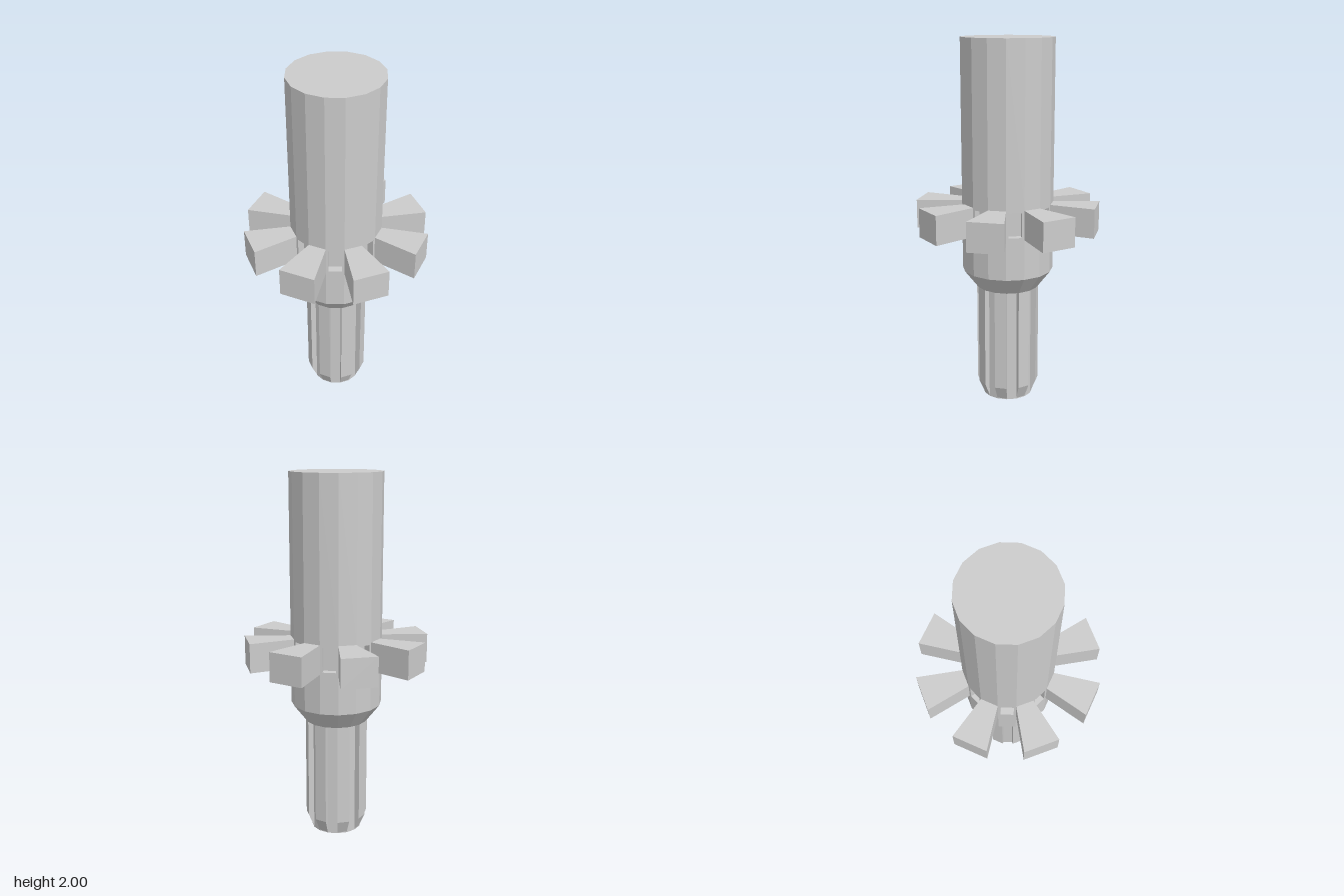
import * as THREE from 'three';
import { ConvexGeometry } from 'three/addons/geometries/ConvexGeometry.js';

const SIDES = 16;
const STEP = (Math.PI * 2) / SIDES;
const BAND = [0.965, 1.124]; // heights of the toothed band

const material = new THREE.MeshStandardMaterial({ color: 0xcccccc, flatShading: true });

function addMesh(parent, name, geometry) {
  const mesh = new THREE.Mesh(geometry, material);
  mesh.name = name;
  parent.add(mesh);
  return mesh;
}

// Faceted solid of revolution from [radius, height] pairs, bottom to top
function turned(profile) {
  return new THREE.LatheGeometry(profile.map(([r, y]) => new THREE.Vector2(r, y)), SIDES);
}

// Radial block filling one facet, from a convex [radius, height] section
function facetBlock(profile, angle) {
  const points = [];
  for (const a of [angle, angle + STEP]) {
    for (const [r, y] of profile) points.push(new THREE.Vector3(r * Math.sin(a), y, r * Math.cos(a)));
  }
  return new ConvexGeometry(points);
}

function rectangle(path, w, h) {
  path.moveTo(-w / 2, -h / 2);
  path.lineTo(w / 2, -h / 2);
  path.lineTo(w / 2, h / 2);
  path.lineTo(-w / 2, h / 2);
  path.closePath();
  return path;
}

export function createModel() {
  const model = new THREE.Group();
  model.name = 'splinedShaft';

  // Main shaft above and below the toothed band
  addMesh(model, 'upperShaft', turned([[0.25, BAND[1]], [0.25, 2], [0, 2]]));
  addMesh(model, 'collar', turned([[0.14, 0.645], [0.172, 0.645], [0.25, 0.745], [0.25, BAND[0]]]));

  // Narrow core of the splined end
  addMesh(model, 'splineCore', turned([[0, 0], [0.14, 0], [0.14, 0.645]]));

  // Pocket panel: a frame with a recessed floor
  const width = 2 * 0.25 * Math.sin(STEP / 2);
  const height = BAND[1] - BAND[0];
  const inset = 0.0125;
  const depth = 0.04;
  const panel = rectangle(new THREE.Shape(), width, height);
  panel.holes.push(rectangle(new THREE.Path(), width - 2 * inset, height - 2 * inset));
  const frameGeometry = new THREE.ExtrudeGeometry(panel, { depth, bevelEnabled: false });
  frameGeometry.translate(0, 0, -depth);
  const floorGeometry = new THREE.PlaneGeometry(width - 2 * inset, height - 2 * inset);
  floorGeometry.translate(0, 0, -depth);

  const toothProfile = [[0.25, BAND[0]], [0.5, BAND[0]], [0.5, BAND[1]], [0.25, BAND[1]]];
  const ridgeProfile = [[0.138, 0], [0.172, 0.08], [0.172, 0.645], [0.138, 0.645]];

  // Teeth and spline ridges alternate with pockets and grooves
  for (let i = 0; i < SIDES; i += 2) {
    addMesh(model, 'tooth', facetBlock(toothProfile, (i + 1) * STEP));
    addMesh(model, 'splineRidge', facetBlock(ridgeProfile, (i + 1) * STEP));

    const pocket = new THREE.Group();
    pocket.name = 'pocket';
    const angle = (i + 0.5) * STEP;
    const apothem = 0.25 * Math.cos(STEP / 2);
    pocket.position.set(apothem * Math.sin(angle), (BAND[0] + BAND[1]) / 2, apothem * Math.cos(angle));
    pocket.rotation.y = angle;
    addMesh(pocket, 'pocketFrame', frameGeometry);
    addMesh(pocket, 'pocketFloor', floorGeometry);
    model.add(pocket);
  }
  return model;
}
